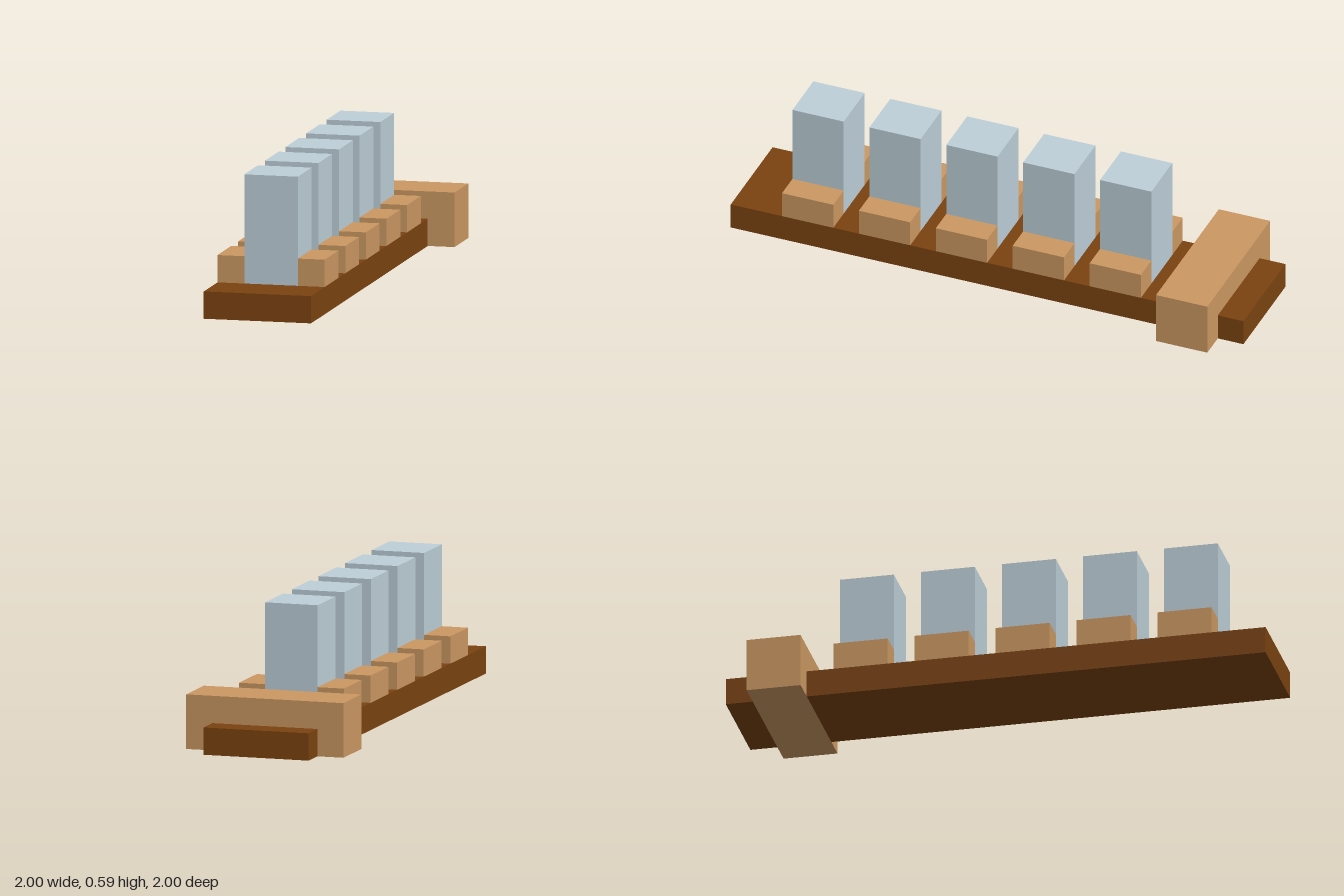
import * as THREE from 'three';

const K = Math.SQRT2 / 12; // one block unit

export function createModel() {
  const group = new THREE.Group();
  const darkWood = new THREE.MeshStandardMaterial({ color: 0x7b4310 });
  darkWood.name = 'darkWood';
  const lightWood = new THREE.MeshStandardMaterial({ color: 0xcb9862 });
  lightWood.name = 'lightWood';
  const paleSteel = new THREE.MeshStandardMaterial({ color: 0xbdcfd8 });
  paleSteel.name = 'paleSteel';

  // Box between two corners, in block units
  const block = (name, material, [x0, y0, z0], [x1, y1, z1]) => {
    const mesh = new THREE.Mesh(
      new THREE.BoxGeometry((x1 - x0) * K, (y1 - y0) * K, (z1 - z0) * K), material);
    mesh.position.set((x0 + x1) / 2 * K, (y0 + y1) / 2 * K, (z0 + z1) / 2 * K);
    mesh.name = name;
    group.add(mesh);
  };

  // Plank, interrupted by the raised crossbar near one end
  block('plank', darkWood, [-10, 0, -2], [7, 1, 2]);
  block('crossbar', lightWood, [7, 0, -3], [9, 2, 3]);
  block('plankEnd', darkWood, [9, 0, -2], [10, 1, 2]);

  // Five upright blocks, each held between two low cheeks
  for (let i = 0; i < 5; i++) {
    const x = -8 + 3 * i;
    block('upright', paleSteel, [x, 1, -1], [x + 2, 5, 1]);
    block('backCheek', lightWood, [x, 1, -2], [x + 2, 2, -1]);
    block('frontCheek', lightWood, [x, 1, 1], [x + 2, 2, 2]);
  }

  // The whole piece lies diagonally
  group.rotation.y = Math.PI / 4;
  const model = new THREE.Group();
  group.name = 'plankWithUprights';
  model.add(group);
  return model;
}
